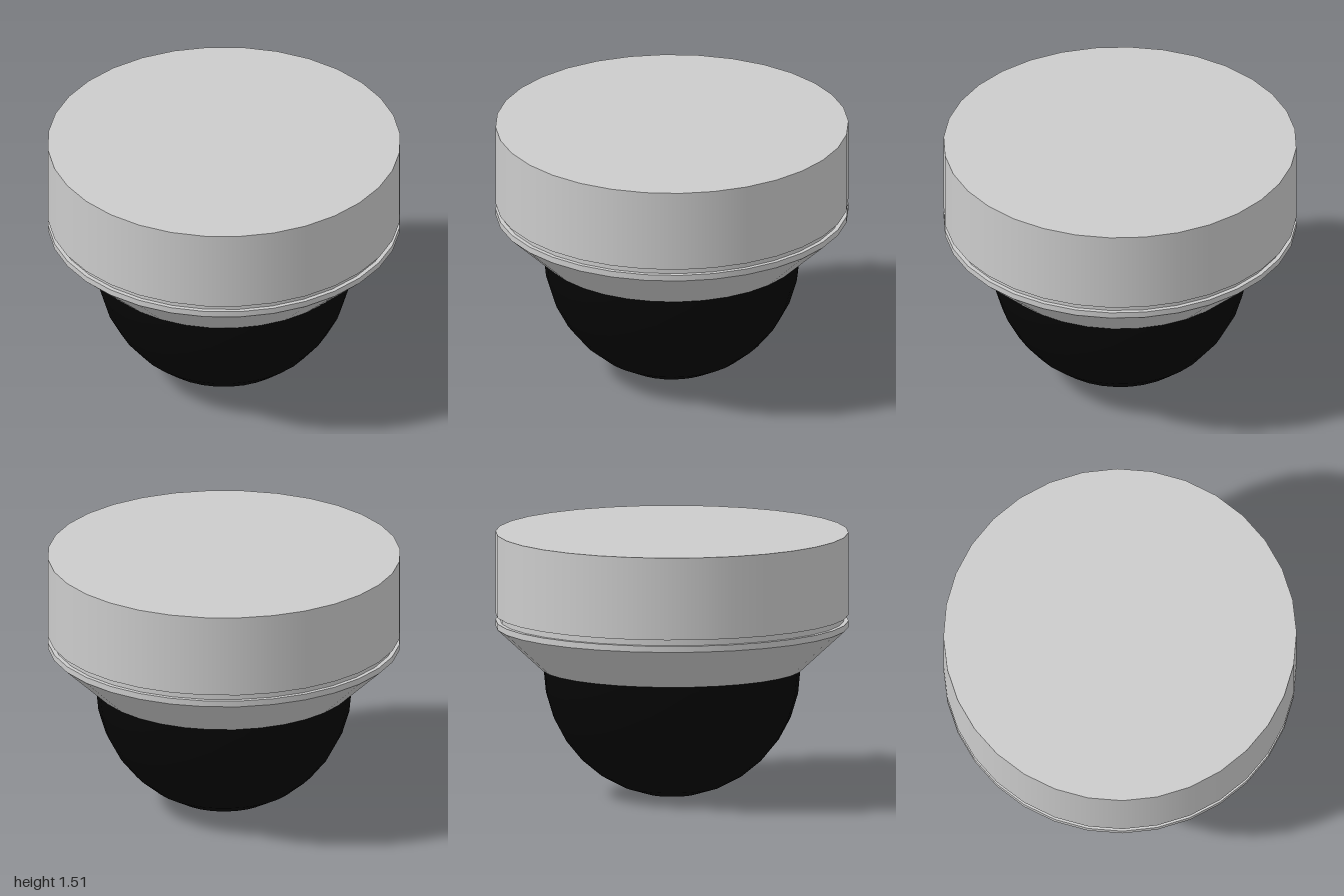
import * as THREE from 'three';

const SIDES = 32;

export function createModel() {
  const model = new THREE.Group();
  model.name = 'domeCamera';
  const housing = new THREE.MeshStandardMaterial({ color: 0xcccccc });
  const tinted = new THREE.MeshStandardMaterial({ color: 0x050505 });

  // Round section between two heights, smooth around and sharp at the rims
  function addRing(name, bottomY, topY, bottomR, topR) {
    const geometry = new THREE.CylinderGeometry(topR, bottomR, topY - bottomY, SIDES);
    const mesh = new THREE.Mesh(geometry, housing);
    mesh.name = name;
    mesh.position.y = (bottomY + topY) / 2;
    model.add(mesh);
  }

  addRing('mountingBase', 1.04, 1.51, 1, 1);
  addRing('seamGroove', 0.99, 1.05, 0.975, 0.975);
  addRing('trimRim', 0.97, 1.005, 1, 1);
  addRing('taperedCollar', 0.73, 0.97, 0.74, 1);

  // Dark hemispherical cover hanging below the collar
  const radius = 0.728;
  const dome = new THREE.Mesh(
    new THREE.SphereGeometry(radius, SIDES, 8, 0, Math.PI * 2, Math.PI / 2, Math.PI / 2),
    tinted
  );
  dome.name = 'domeCover';
  dome.position.y = radius + 0.003;
  dome.scale.y = (radius + 0.003) / radius;
  model.add(dome);

  return model;
}
